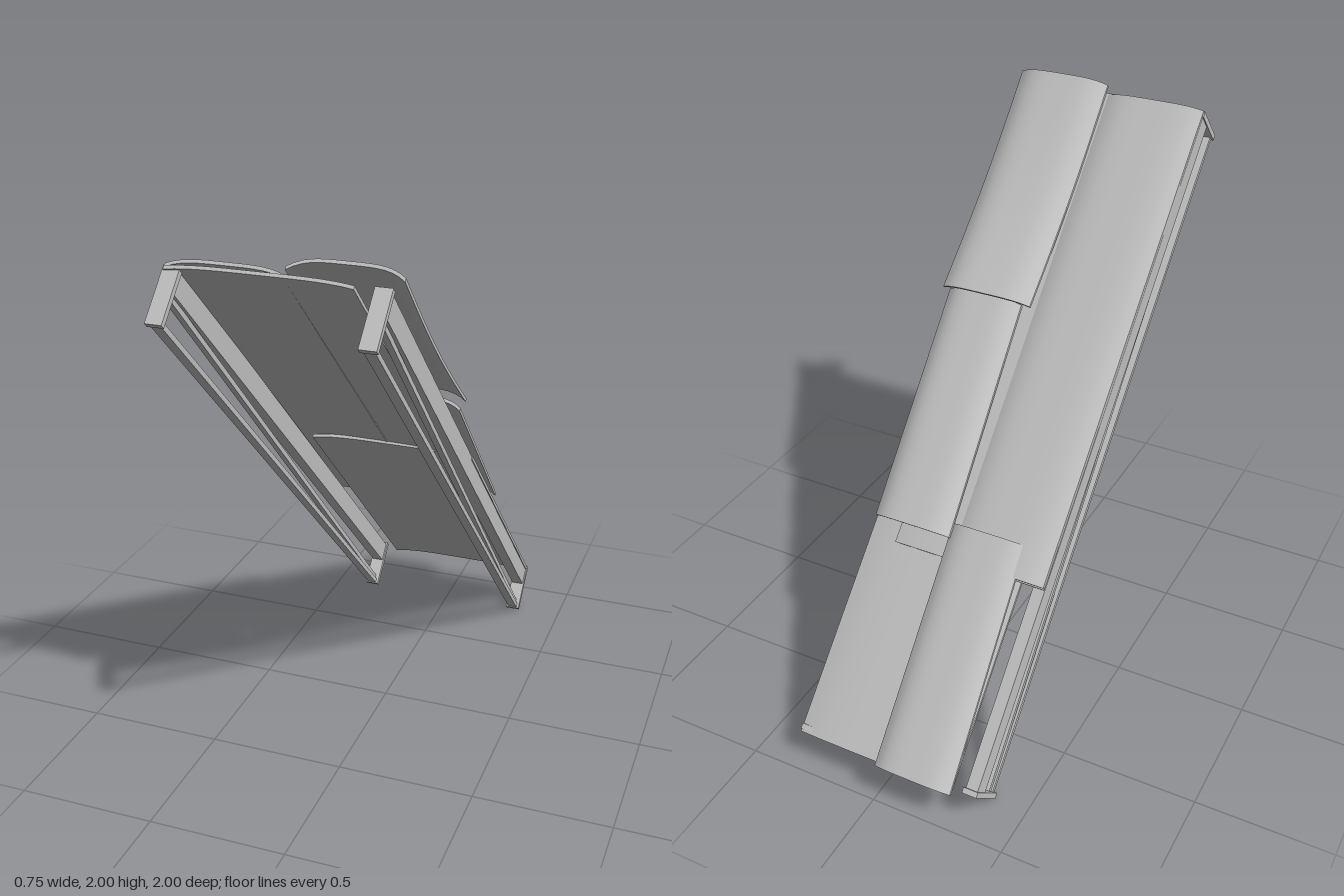
import * as THREE from 'three';

const grey = new THREE.MeshStandardMaterial({ color: 0xc0c0c0 });
grey.name = 'light grey';

// straight bar between two (height, length) points
function bar(name, x, w, h, [n0, s0], [n1, s1]) {
  const m = new THREE.Mesh(new THREE.BoxGeometry(w, h, Math.hypot(n1 - n0, s1 - s0)), grey);
  m.position.set(x, (n0 + n1) / 2, (s0 + s1) / 2);
  m.rotation.x = -Math.atan2(n1 - n0, s1 - s0);
  m.name = name;
  return m;
}

// thin sheet with drooping side edges; low and high ends are [left x, right x, length, crown height]
function sheet(name, low, high, lip, bend = 0) {
  const t = 0.012;
  const g = new THREE.BoxGeometry(1, 1, 1, 16, 1, 12);
  const p = g.attributes.position;
  for (let i = 0; i < p.count; i++) {
    const u = p.getX(i) + 0.5, v = p.getZ(i) + 0.5;
    const [xl, xr, s, n] = low.map((a, k) => THREE.MathUtils.lerp(a, high[k], v));
    const edge = Math.abs(2 * u - 1) ** 4;
    const y = n - lip * edge + bend * Math.sin(Math.PI * v) - (p.getY(i) < 0 ? t : 0);
    p.setXYZ(i, THREE.MathUtils.lerp(xl, xr, u), y, s);
  }
  g.computeVertexNormals();
  const m = new THREE.Mesh(g, grey);
  m.name = name;
  return m;
}

export function createModel() {
  const group = new THREE.Group();
  group.name = 'slopedRoof';

  // everything is laid out flat, then tilted by 45 degrees
  const slope = new THREE.Group();
  slope.name = 'slope';
  slope.rotation.x = -Math.PI / 4;
  slope.position.y = 1;
  group.add(slope);

  // two trusses: beam, lower rod, diagonal rod and end blocks
  for (const [side, x] of [['right', -0.348], ['left', 0.303]]) {
    const truss = new THREE.Group();
    truss.name = side + 'Truss';
    truss.add(
      bar('beam', x, 0.045, 0.075, [0.008, -1.265], [0.008, 1.265]),
      bar('lowerRod', x, 0.036, 0.018, [-0.128, -1.265], [-0.128, 1.265]),
      bar('diagonalRod', x, 0.022, 0.018, [-0.112, -1.26], [-0.035, 1.26]),
      bar('lowerBlock', x, 0.055, 0.195, [-0.043, -1.276], [-0.043, -1.256]),
      bar('upperBlock', x, 0.055, 0.195, [-0.043, 1.256], [-0.043, 1.276]),
    );
    slope.add(truss);
  }

  // wide base sheets
  slope.add(
    sheet('lowerBaseSheet', [-0.28, 0.33, -1.285, 0.062], [-0.28, 0.33, 0.055, 0.06], 0.014),
    sheet('upperBaseSheet', [-0.37, 0.22, -0.545, 0.076], [-0.37, 0.22, 1.283, 0.058], 0.012),
  );

  // narrow cover sheets, overlapping
  slope.add(
    sheet('longCoverSheet', [-0.37, 0.005, -0.54, 0.092], [-0.37, 0.005, 1.278, 0.08], 0.022),
    sheet('lowerCoverSheet', [-0.295, 0, -1.295, 0.115], [-0.265, 0.02, -0.42, 0.112], 0.026),
    sheet('middleCoverSheet', [0.01, 0.31, -0.475, 0.134], [0.05, 0.345, 0.41, 0.11], 0.03),
    sheet('upperCoverSheet', [0, 0.355, 0.4, 0.155], [0.015, 0.37, 1.308, 0.107], 0.035, -0.018),
  );
  return group;
}
